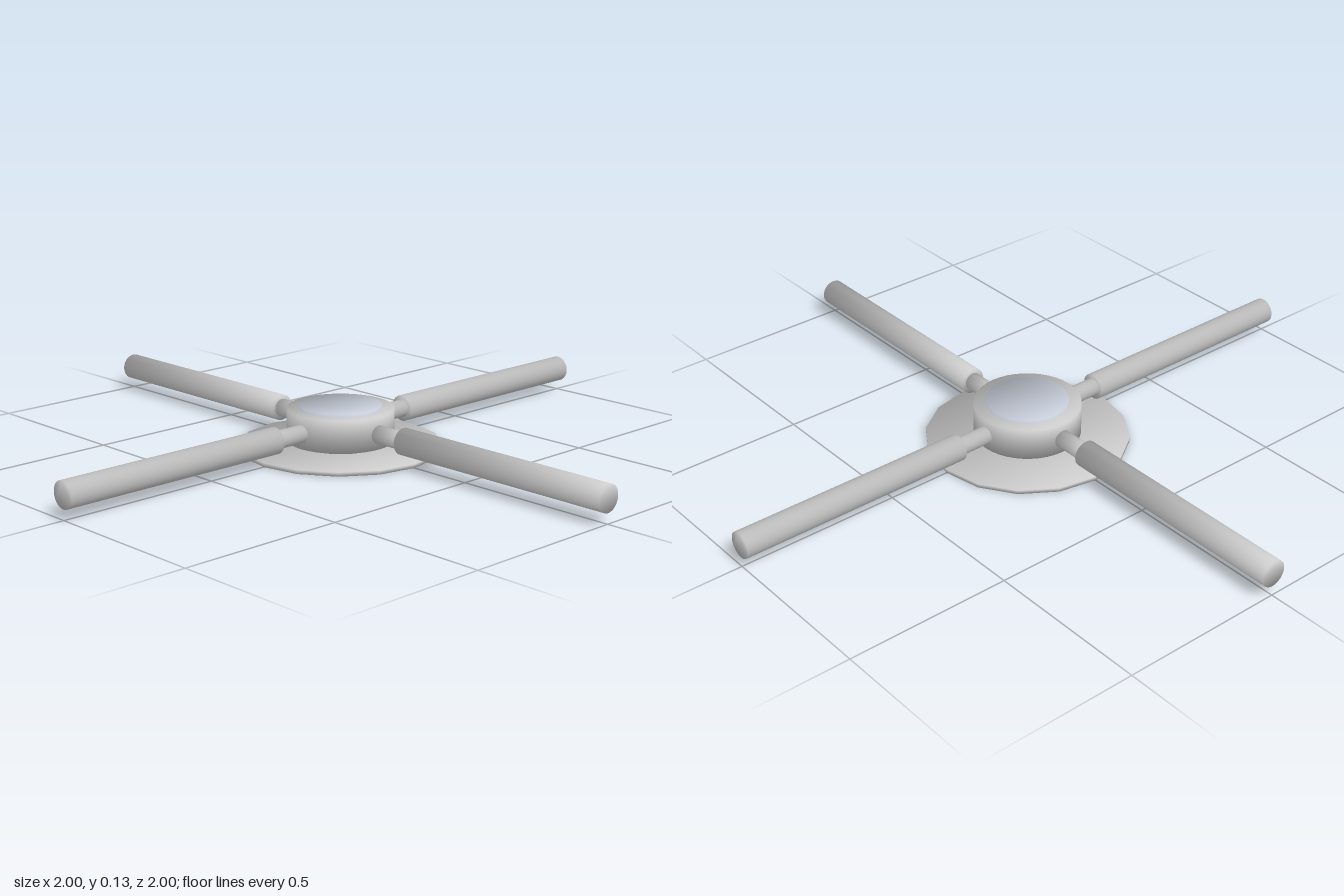
import * as THREE from 'three';

const grey = new THREE.MeshStandardMaterial({ color: 0xcccccc });
const glass = new THREE.MeshStandardMaterial({ color: 0xc6ccd8 });

// Solid round bar along z from 0 to length, softly shaded across its rims
function softBar(radius, length, sides) {
  const points = [];
  for (let i = 0; i < sides; i++) {
    const a = (i / sides) * Math.PI * 2;
    points.push(new THREE.Vector2(Math.cos(a) * radius, Math.sin(a) * radius));
  }
  const geometry = new THREE.ExtrudeGeometry(new THREE.Shape(points), { depth: length, bevelEnabled: false });
  const position = geometry.attributes.position;
  const n = new THREE.Vector3();
  for (let i = 0; i < position.count; i++) {
    const end = position.getZ(i) > length / 2 ? 1 : -1;
    n.set(position.getX(i) / radius, position.getY(i) / radius, end).normalize();
    geometry.attributes.normal.setXYZ(i, n.x, n.y, n.z);
  }
  return geometry;
}

function addPart(parent, name, geometry, material = grey) {
  const mesh = new THREE.Mesh(geometry, material);
  mesh.name = name;
  parent.add(mesh);
  return mesh;
}

// Upright disc between two heights
function disc(radius, bottom, top, sides) {
  return softBar(radius, top - bottom, sides).rotateX(-Math.PI / 2).translate(0, bottom, 0);
}

export function createModel() {
  const model = new THREE.Group();
  model.name = 'fourArmedHub';

  // Thin base plate, hub drum and the lens core running through it
  addPart(model, 'basePlate', disc(0.305, 0, 0.012, 16));
  addPart(model, 'hub', disc(0.16, 0.024, 0.121, 40));
  addPart(model, 'lens', disc(0.122, 0.012, 0.131, 40), glass);

  // Four arms, each a slim connector and a thicker rod
  const connectorGeometry = softBar(0.027, 0.12, 20).translate(0, 0, 0.15);
  const rodGeometry = softBar(0.04, 0.74, 24).translate(0, 0, 0.26);
  ['front', 'left', 'back', 'right'].forEach((side, i) => {
    const arm = new THREE.Group();
    arm.name = side + 'Arm';
    arm.position.y = 0.07;
    arm.rotation.y = (i * Math.PI) / 2;
    addPart(arm, 'connector', connectorGeometry);
    addPart(arm, 'rod', rodGeometry);
    model.add(arm);
  });

  return model;
}
